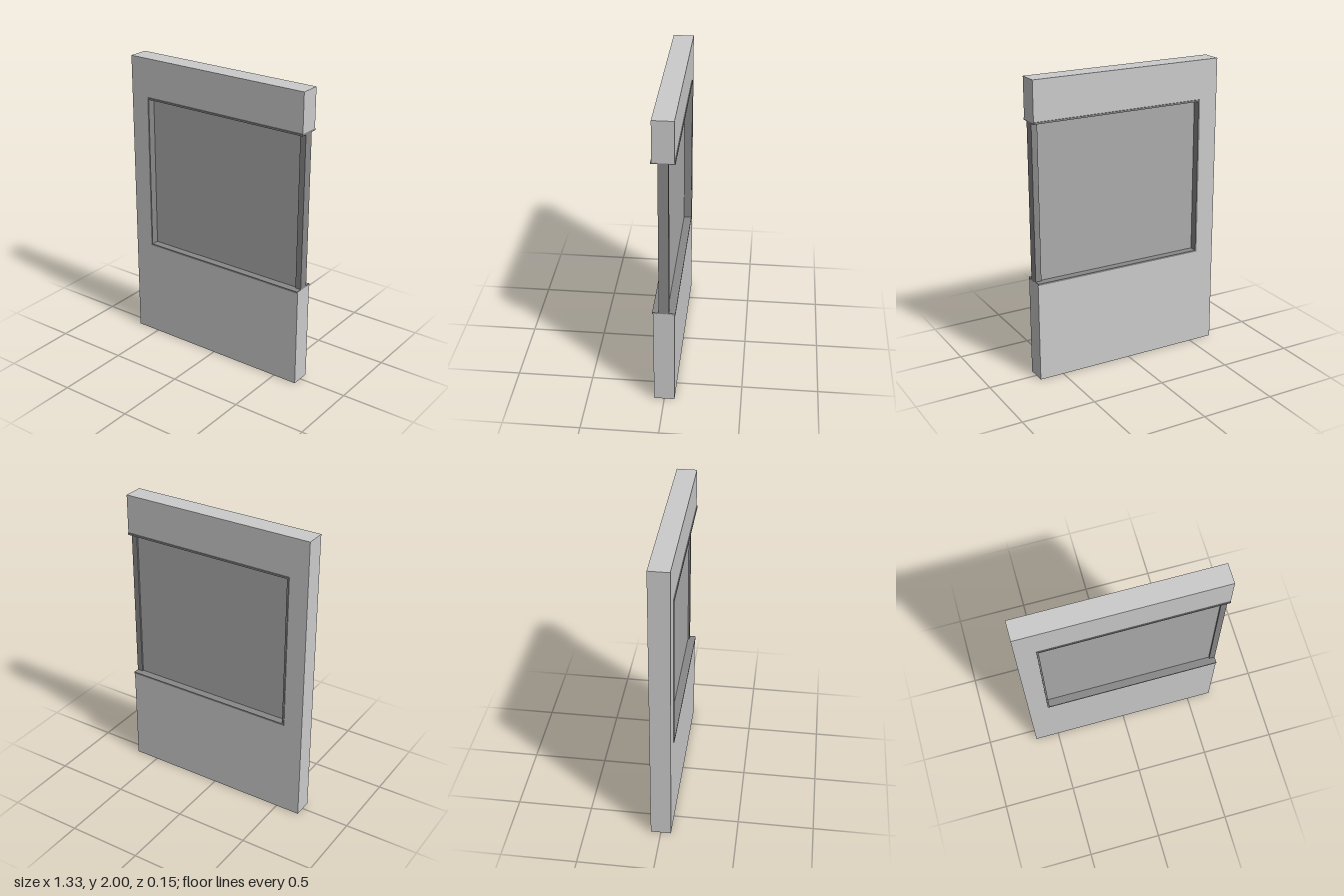
import * as THREE from 'three';

const wallMat = new THREE.MeshStandardMaterial({ color: 0xcccccc });
const trimMat = new THREE.MeshStandardMaterial({ color: 0x888888 });
const paneMat = new THREE.MeshStandardMaterial({ color: 0xacacac });

const END = 0.666;                                 // half width of the wall
const OPEN = { x: -0.53, y0: 0.676, y1: 1.732 };   // opening, running out at +x

// C-shaped band extruded symmetrically in z, open towards +x
function openFrame(name, outer, inner, halfDepth, material) {
  const shape = new THREE.Shape([
    [END, outer.y0], [END, inner.y0], [inner.x, inner.y0], [inner.x, inner.y1],
    [END, inner.y1], [END, outer.y1], [outer.x, outer.y1], [outer.x, outer.y0],
  ].map(([x, y]) => new THREE.Vector2(x, y)));
  const geo = new THREE.ExtrudeGeometry(shape, { depth: halfDepth * 2, bevelEnabled: false });
  geo.translate(0, 0, -halfDepth);
  const mesh = new THREE.Mesh(geo, material);
  mesh.name = name;
  return mesh;
}

// Box given by its x and y limits and half depth
function slab(name, x0, x1, y0, y1, halfDepth, material) {
  const mesh = new THREE.Mesh(new THREE.BoxGeometry(x1 - x0, y1 - y0, halfDepth * 2), material);
  mesh.position.set((x0 + x1) / 2, (y0 + y1) / 2, 0);
  mesh.name = name;
  return mesh;
}

export function createModel() {
  const group = new THREE.Group();
  group.name = 'windowWallPanel';

  // Wall with the opening cut through to one end
  group.add(openFrame('wall', { x: -END, y0: 0, y1: 2 }, OPEN, 0.067, wallMat));

  // Thin lining of the opening, standing slightly proud of both wall faces
  const grow = (d) => ({ x: OPEN.x - d, y0: OPEN.y0 - d, y1: OPEN.y1 + d });
  group.add(openFrame('windowTrim', grow(0.006), grow(-0.006), 0.073, trimMat));

  // Pane set into the wall on three sides
  group.add(slab('windowPane', -0.57, END - 0.001, 0.637, 1.77, 0.021, paneMat));

  // Slim mullion closing the open end
  group.add(slab('endMullion', 0.626, END, OPEN.y0, OPEN.y1, 0.032, trimMat));

  return group;
}
